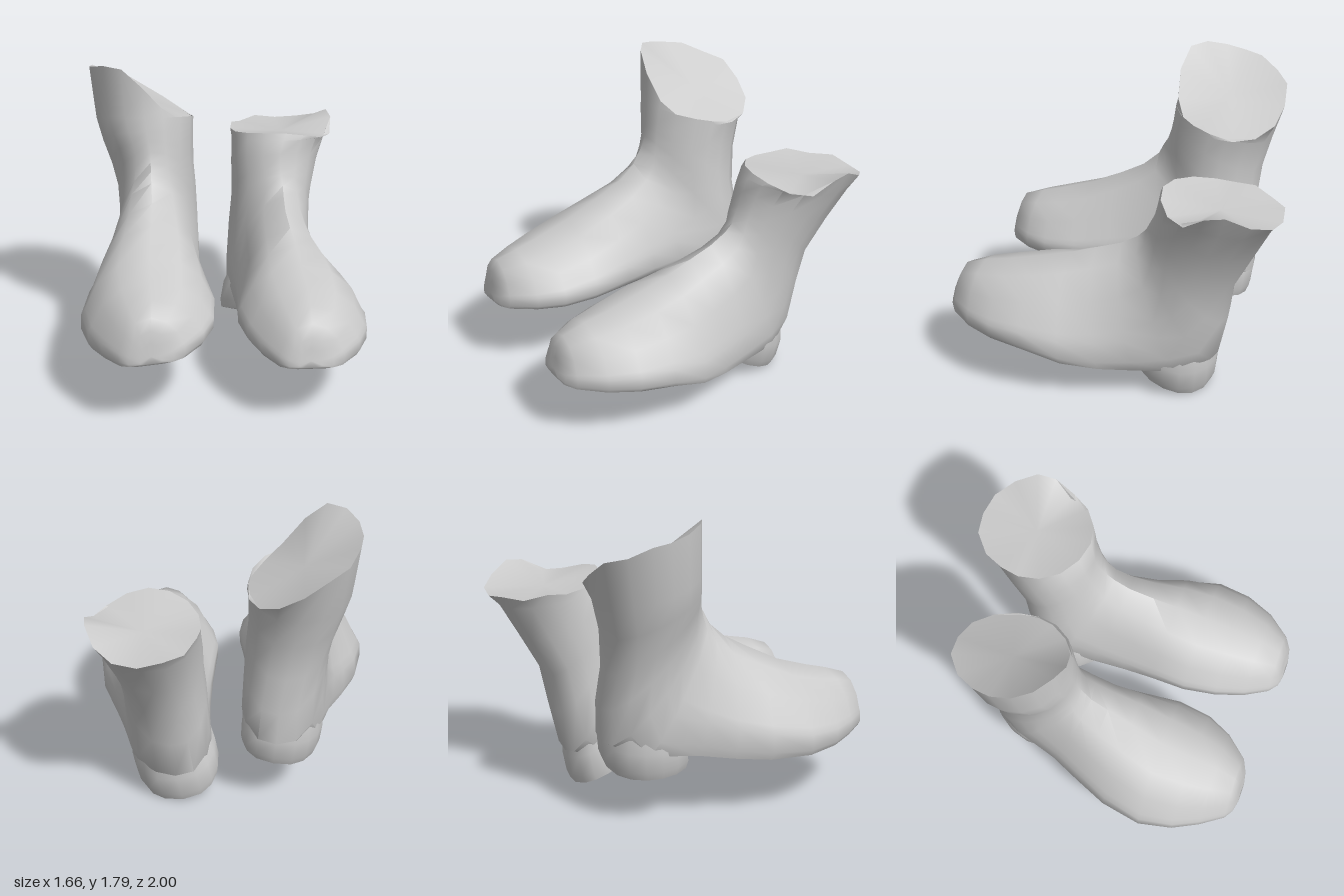
import * as THREE from 'three';
import { toCreasedNormals } from 'three/addons/utils/BufferGeometryUtils.js';

// Half cross-sections, bottom to top: [width factor, height factor]
const FOOT = [[0, 0], [0.6, 0], [0.94, 0.02], [1, 0.1], [1, 0.29], [0.94, 0.36], [0.79, 0.64], [0.46, 0.89], [0, 1]];
const SHAFT = [[0, 0], [0.42, 0.035], [0.76, 0.17], [0.95, 0.35], [1, 0.51], [0.93, 0.69], [0.72, 0.85], [0.38, 0.96], [0, 1]];
// Change from foot shape to shaft shape, section by section
const BLEND = [0, 0, 0, 0, 0, 0, 0, 0, 0.1, 0.35, 0.8, 0.95, 1, 1, 1, 1];
const { lerp } = THREE.MathUtils;

// Skin a row of closed rings and close both ends; dip sinks the last cap
function loft(rings, dip, crease) {
  const n = rings[0].length, pos = [], index = [];
  rings.forEach((ring) => ring.forEach((p) => pos.push(...p)));
  for (let i = 0; i < rings.length - 1; i++) {
    for (let j = 0; j < n; j++) {
      const k = (j + 1) % n, a = i * n + j, b = i * n + k;
      index.push(a, a + n, b, b, a + n, b + n);
    }
  }
  [rings[0], rings[rings.length - 1]].forEach((ring, end) => {
    const mid = [0, 1, 2].map((c) => ring.reduce((s, p) => s + p[c], 0) / n);
    if (end) mid[1] -= dip;
    const centre = pos.length / 3, base = end ? (rings.length - 1) * n : 0;
    pos.push(...mid);
    for (let j = 0; j < n; j++) {
      const a = base + j, b = base + (j + 1) % n;
      index.push(centre, end ? b : a, end ? a : b);
    }
  });
  const geo = new THREE.BufferGeometry();
  geo.setAttribute('position', new THREE.Float32BufferAttribute(pos, 3));
  geo.setIndex(index);
  return toCreasedNormals(geo, crease);
}

// One section: upper point, lower point (z, y), their x centres and the half width.
// The sole rolls sideways by an amount that changes from toe to heel.
function section([zt, yt, zb, yb, xt, xb, w], blend, [toeRoll, heelRoll]) {
  const half = FOOT.map((f, i) => [0, 1].map((c) => lerp(f[c], SHAFT[i][c], blend)));
  const roll = lerp(toeRoll, heelRoll, (1 - zb) / 1.6) * (1 - blend);
  const at = ([u, v], side) => [
    lerp(xb, xt, v) + side * u * w,
    lerp(yb, yt, v) + roll * (1 - v) * side * u * w,
    lerp(zb, zt, v),
  ];
  return [...half.map((p) => at(p, 1)), ...half.slice(1, -1).reverse().map((p) => at(p, -1))];
}

function bootBody({ sections, collar, roll }) {
  const rings = sections.map((s, i) => section(s, BLEND[i], roll));
  // Ragged, uneven collar edge
  rings[rings.length - 1].forEach((p, j) => { p[1] += collar[j]; });
  return loft(rings, 0.04, 0.95);
}

// Tilted heel block with a flat front and a round back, skewed inwards to the rear
function heelBlock({ x, w, back, front, lean, skew, tilt }) {
  const ring = (lift, grow) => Array.from({ length: 16 }, (_, j) => {
    const t = (j / 16) * Math.PI * 2, c = Math.cos(t);
    const d = (front - back) * 0.58;
    const pz = Math.min(front, back + d + d * grow * Math.sin(t));
    const px = x + w * grow * Math.sign(c) * Math.abs(c) ** 0.8 + skew * (front - pz);
    return [px + lean * lift, Math.max(0, tilt(px, pz)) + lift, pz - 0.1 * lift];
  });
  return loft([ring(0, 0.93), ring(0.05, 0.99), ring(0.17, 1), ring(0.26, 0.9)], 0, 0.7);
}

const BOOTS = {
  leftBoot: {
    roll: [0, -0.2],
    sections: [
      [0.975, 0.49, 0.998, 0.39, 0.43, 0.43, 0.06],
      [0.965, 0.55, 0.985, 0.375, 0.435, 0.435, 0.125],
      [0.93, 0.62, 0.94, 0.365, 0.44, 0.44, 0.185],
      [0.8, 0.67, 0.8, 0.36, 0.45, 0.455, 0.28],
      [0.63, 0.71, 0.63, 0.355, 0.455, 0.46, 0.345],
      [0.43, 0.76, 0.43, 0.345, 0.445, 0.455, 0.375],
      [0.25, 0.81, 0.2, 0.275, 0.435, 0.445, 0.345],
      [0.1, 0.86, 0.0, 0.225, 0.42, 0.4, 0.295],
      [-0.05, 0.91, -0.2, 0.2, 0.41, 0.36, 0.265],
      [-0.15, 0.97, -0.45, 0.16, 0.41, 0.31, 0.25],
      [-0.2, 1.02, -0.61, 0.22, 0.41, 0.29, 0.245],
      [-0.23, 1.08, -0.67, 0.48, 0.4, 0.31, 0.245],
      [-0.25, 1.12, -0.71, 0.72, 0.4, 0.345, 0.25],
      [-0.27, 1.2, -0.83, 0.95, 0.4, 0.385, 0.27],
      [-0.29, 1.28, -0.94, 1.16, 0.42, 0.43, 0.295],
      [-0.31, 1.32, -1.0, 1.24, 0.44, 0.45, 0.32],
    ],
    collar: [-0.02, -0.01, 0.02, 0.07, 0.04, -0.05, -0.05, -0.02, 0, 0, -0.01, -0.02, -0.02, 0, -0.02, 0],
    heel: {
      x: 0.31, w: 0.25, back: -0.58, front: -0.18, lean: 0.2, skew: -0.16,
      tilt: (x, z) => 0.147 + 0.45 * (z + 0.2) - 0.23 * (x - 0.37),
    },
  },
  rightBoot: {
    roll: [0.1, 0.18],
    sections: [
      [0.965, 0.55, 0.983, 0.44, -0.445, -0.445, 0.06],
      [0.955, 0.62, 0.97, 0.425, -0.445, -0.445, 0.125],
      [0.925, 0.69, 0.935, 0.42, -0.44, -0.44, 0.185],
      [0.8, 0.735, 0.8, 0.415, -0.43, -0.43, 0.285],
      [0.65, 0.78, 0.65, 0.41, -0.43, -0.435, 0.355],
      [0.45, 0.85, 0.45, 0.41, -0.43, -0.45, 0.385],
      [0.25, 0.955, 0.2, 0.415, -0.41, -0.45, 0.345],
      [0.1, 1.04, 0.0, 0.43, -0.4, -0.42, 0.295],
      [0.0, 1.13, -0.2, 0.44, -0.4, -0.37, 0.265],
      [-0.03, 1.19, -0.5, 0.42, -0.4, -0.32, 0.245],
      [-0.06, 1.24, -0.65, 0.49, -0.4, -0.3, 0.24],
      [-0.08, 1.3, -0.66, 0.7, -0.4, -0.31, 0.24],
      [-0.09, 1.36, -0.64, 0.92, -0.41, -0.345, 0.25],
      [-0.1, 1.42, -0.66, 1.15, -0.42, -0.385, 0.275],
      [-0.11, 1.5, -0.71, 1.34, -0.43, -0.41, 0.295],
      [-0.12, 1.6, -0.77, 1.55, -0.44, -0.43, 0.315],
    ],
    collar: [-0.02, -0.1, -0.16, -0.18, -0.18, -0.17, -0.14, -0.06, 0.08, 0.19, 0.2, 0.18, 0.16, 0.15, 0.1, 0.07],
    heel: {
      x: -0.35, w: 0.235, back: -0.63, front: -0.2, lean: -0.1, skew: 0.16,
      tilt: (x, z) => 0.34 + 0.2 * (x + 0.33) + 0.1 * (z + 0.4),
    },
  },
};

export function createModel() {
  const model = new THREE.Group();
  model.name = 'bootPair';
  const grey = new THREE.MeshStandardMaterial({ color: 0xcccccc, side: THREE.DoubleSide });
  grey.name = 'plainGrey';

  for (const [name, spec] of Object.entries(BOOTS)) {
    const boot = new THREE.Group();
    boot.name = name;
    const body = new THREE.Mesh(bootBody(spec), grey);
    body.name = 'footAndShaft';
    const heel = new THREE.Mesh(heelBlock(spec.heel), grey);
    heel.name = 'heel';
    boot.add(body, heel);
    model.add(boot);
  }
  return model;
}
